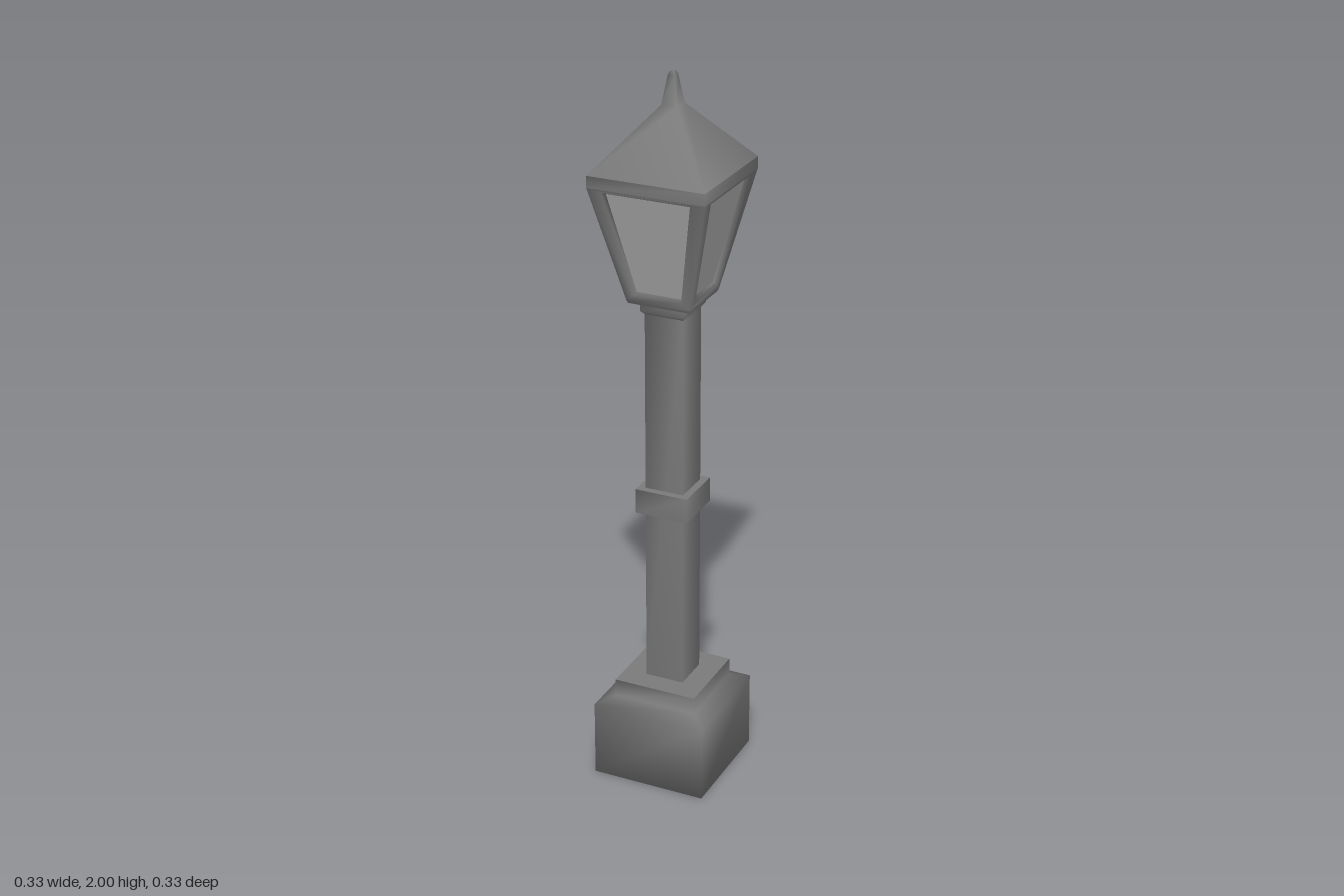
import * as THREE from 'three';
import { mergeGeometries, mergeVertices } from 'three/addons/utils/BufferGeometryUtils.js';

const metal = new THREE.MeshStandardMaterial({ color: 0x7a7a7a });
const glass = new THREE.MeshStandardMaterial({ color: 0xa6a6a6 });

function buildGeometry(positions, index) {
  const geo = new THREE.BufferGeometry();
  geo.setAttribute('position', new THREE.Float32BufferAttribute(positions, 3));
  geo.setIndex(index);
  geo.computeVertexNormals();
  return geo;
}

function namedMesh(name, geo, material) {
  const mesh = new THREE.Mesh(geo, material);
  mesh.name = name;
  return mesh;
}

// Quads joining successive loops of four corners
function joinLoops(loops) {
  const idx = [];
  for (let r = 0; r < loops - 1; r++) {
    for (let i = 0; i < 4; i++) {
      const a = r * 4 + i, b = r * 4 + (i + 1) % 4;
      idx.push(a, b, b + 4, a, b + 4, a + 4);
    }
  }
  return idx;
}

const square = ([h, y]) => [h, y, h, h, y, -h, -h, y, -h, -h, y, h];

// Stack of square sections [half width, height] with smooth sides and caps;
// softBottom blends the shading of the underside into the sides
function squareLoft(name, rings, softBottom = false) {
  const n = rings.length;
  const pos = [...rings, rings[0], rings[n - 1]].flatMap(square);
  const idx = joinLoops(n);
  const b = softBottom ? 0 : n * 4, t = n * 4 + 4;
  idx.push(b, b + 2, b + 1, b, b + 3, b + 2, t, t + 1, t + 2, t, t + 2, t + 3);
  return namedMesh(name, buildGeometry(pos, idx), metal);
}

// Lantern walls slope outwards from BOTTOM to TOP
const BOTTOM = 1.405, TOP = 1.72, LOW = 0.09, HIGH = 0.163;
const wall = (y) => LOW + (HIGH - LOW) * (y - BOTTOM) / (TOP - BOTTOM);

// Four corners of a trapezoid lying on the wall, pushed inwards by depth
function trapezoid(lowHalf, lowY, highHalf, highY, depth) {
  const zl = wall(lowY) - depth, zh = wall(highY) - depth;
  return [-lowHalf, lowY, zl, lowHalf, lowY, zl, highHalf, highY, zh, -highHalf, highY, zh];
}

function createLantern() {
  const lantern = new THREE.Group();
  lantern.name = 'lantern';
  const outer = trapezoid(LOW, BOTTOM, HIGH, TOP, 0);
  const opening = trapezoid(0.068, 1.424, 0.124, 1.714, 0);
  const recess = trapezoid(0.063, 1.43, 0.116, 1.707, 0.012);
  const frame = buildGeometry([...outer, ...opening, ...recess], joinLoops(3));
  const pane = buildGeometry(recess, [0, 1, 2, 0, 2, 3]);

  // Four sides; the frames are welded so their shading runs round the corners
  const frames = [];
  for (let i = 0; i < 4; i++) {
    const turn = i * Math.PI / 2;
    frames.push(frame.clone().rotateY(turn).deleteAttribute('normal'));
    lantern.add(namedMesh('glassPane', pane.clone().rotateY(turn), glass));
  }
  const welded = mergeVertices(mergeGeometries(frames), 1e-4);
  welded.computeVertexNormals();
  lantern.add(
    namedMesh('lanternFrame', welded, metal),
    squareLoft('lanternFloor', [[0.087, 1.397], [LOW, BOTTOM]]),
    squareLoft('lanternRim', [[HIGH, TOP], [HIGH, 1.752]]),
  );
  return lantern;
}

export function createModel() {
  const lamp = new THREE.Group();
  lamp.name = 'streetLamp';
  lamp.add(
    // Pedestal, post and fittings
    squareLoft('base', [[0.163, 0], [0.163, 0.217], [0.119, 0.235], [0.119, 0.284]], true),
    squareLoft('post', [[0.055, 0.28], [0.055, 1.38]]),
    squareLoft('collar', [[0.075, 0.79], [0.075, 0.86]]),
    squareLoft('neck', [[0.055, 1.36], [0.064, 1.37], [0.064, 1.4]]),
    createLantern(),
    // Pyramid roof drawn up into a finial
    squareLoft('roof', [[HIGH, 1.752], [0.022, 1.915], [0.01, 1.99], [0.006, 2]]),
  );
  return lamp;
}
